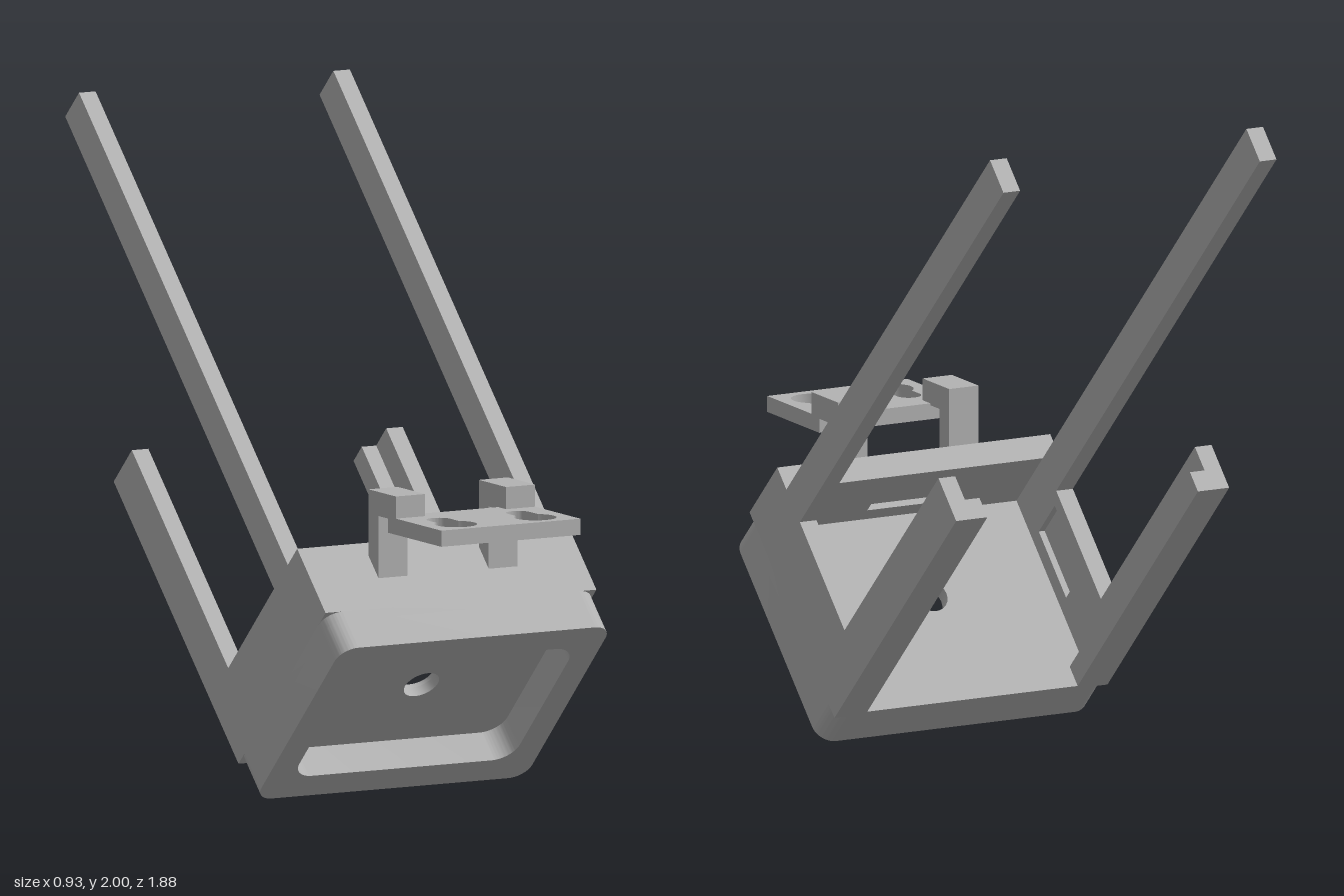
import * as THREE from 'three';
import { toCreasedNormals } from 'three/addons/utils/BufferGeometryUtils.js';

const grey = new THREE.MeshStandardMaterial({ color: 0xb2b2b2 });
grey.name = 'grey plastic';

const poly = (pts) => new THREE.Shape(pts.map(([a, b]) => new THREE.Vector2(a, b)));
const rect = (x0, y0, x1, y1) => poly([[x0, y0], [x1, y0], [x1, y1], [x0, y1]]);

function roundRect(x0, y0, x1, y1, r) {
  const s = new THREE.Shape();
  s.absarc(x1 - r, y0 + r, r, -Math.PI / 2, 0);
  s.absarc(x1 - r, y1 - r, r, 0, Math.PI / 2);
  s.absarc(x0 + r, y1 - r, r, Math.PI / 2, Math.PI);
  s.absarc(x0 + r, y0 + r, r, Math.PI, Math.PI * 1.5);
  s.closePath();
  return s;
}

function circle(x, y, r) {
  const p = new THREE.Path();
  p.absarc(x, y, r, 0, Math.PI * 2);
  return p;
}

// Extrude a shape from a to b along an axis. The back direction is -z:
// 'x' shapes are (back, y), 'y' shapes are (x, back), 'z' shapes are (x, y).
function slab(parent, name, axis, shape, a, b, holes = []) {
  shape.holes.push(...holes);
  let g = new THREE.ExtrudeGeometry(shape, { depth: b - a, bevelEnabled: false, curveSegments: 12 });
  g.translate(0, 0, a);
  if (axis === 'x') g.rotateY(Math.PI / 2);
  if (axis === 'y') g.rotateX(-Math.PI / 2);
  g = toCreasedNormals(g, 0.5);
  const mesh = new THREE.Mesh(g, grey);
  mesh.name = name;
  parent.add(mesh);
}

export function createModel() {
  const model = new THREE.Group();
  model.name = 'angledHolder';

  // Holder body, leaning back by 45 degrees
  const body = new THREE.Group();
  body.name = 'holder';
  body.rotation.x = Math.PI / 4;
  body.position.z = 0.208;
  model.add(body);

  const W = 0.467, I = 0.41, H = 0.745, hole = () => circle(0, 0.375, 0.057);
  slab(body, 'frontRim', 'z', roundRect(-W, 0, W, H, 0.06), -0.105, 0,
    [roundRect(-0.38, 0.1, 0.38, 0.65, 0.07)]);
  slab(body, 'floorFront', 'z', roundRect(-W, 0, W, H, 0.06), -0.137, -0.105, [hole()]);
  slab(body, 'floorBack', 'z', rect(-W, 0, W, H), -0.15, -0.137, [hole()]);

  // Side walls with long upper and short lower arms; inner layer has a pocket
  const side = () => poly([[0.15, 0], [1.205, 0], [1.205, 0.155], [0.38, 0.155], [0.38, 0.547],
    [2.167, 0.547], [2.167, 0.665], [0.38, 0.665], [0.38, H], [0.15, H]]);
  for (const [label, s] of [['left', 1], ['right', -1]]) {
    const layer = (name, shape, a, b, holes) =>
      slab(body, label + name, 'x', shape, Math.min(s * a, s * b), Math.max(s * a, s * b), holes);
    layer('SideOuter', side(), 0.43, W);
    layer('SideInner', side(), I, 0.43, [rect(0.2, 0.28, 0.34, 0.52)]);
    layer('LowerArmLip', rect(0.15, 0, 1.205, 0.07), 0.36, I);
  }

  // Top wall with a pocket on the inside
  slab(body, 'topWallInner', 'y', rect(-I, 0.15, I, 0.38), 0.665, 0.685, [rect(-0.12, 0.2, 0.12, 0.34)]);
  slab(body, 'topWallOuter', 'y', rect(-I, 0.15, I, 0.38), 0.685, H);

  // Level mounting plate with two keyholes
  const mount = new THREE.Group();
  mount.name = 'mount';
  model.add(mount);
  const keyhole = (x) => {
    const r = 0.064, n = 0.038, c = -0.847, t = Math.acos(n / r);
    const p = new THREE.Path();
    p.absarc(x, c, r, Math.PI - t, Math.PI * 2 + t);
    p.absarc(x, -0.747, n, 0, Math.PI);
    p.closePath();
    return p;
  };
  slab(mount, 'mountPlate', 'y', rect(-0.24, -0.94, 0.24, -0.617), 0.847, 0.896,
    [keyhole(-0.137), keyhole(0.137)]);

  // Hooked brackets joining the plate to the body
  for (const [label, x] of [['left', 0.14], ['right', -0.24]]) {
    slab(mount, label + 'Bracket', 'x', poly([[-0.665, 0.896], [-0.617, 0.896], [-0.617, 0.89],
      [-0.56, 0.89], [-0.56, 0.7], [-0.5, 0.7], [-0.5, 0.963], [-0.665, 0.963]]), x, x + 0.1);
  }
  return model;
}
